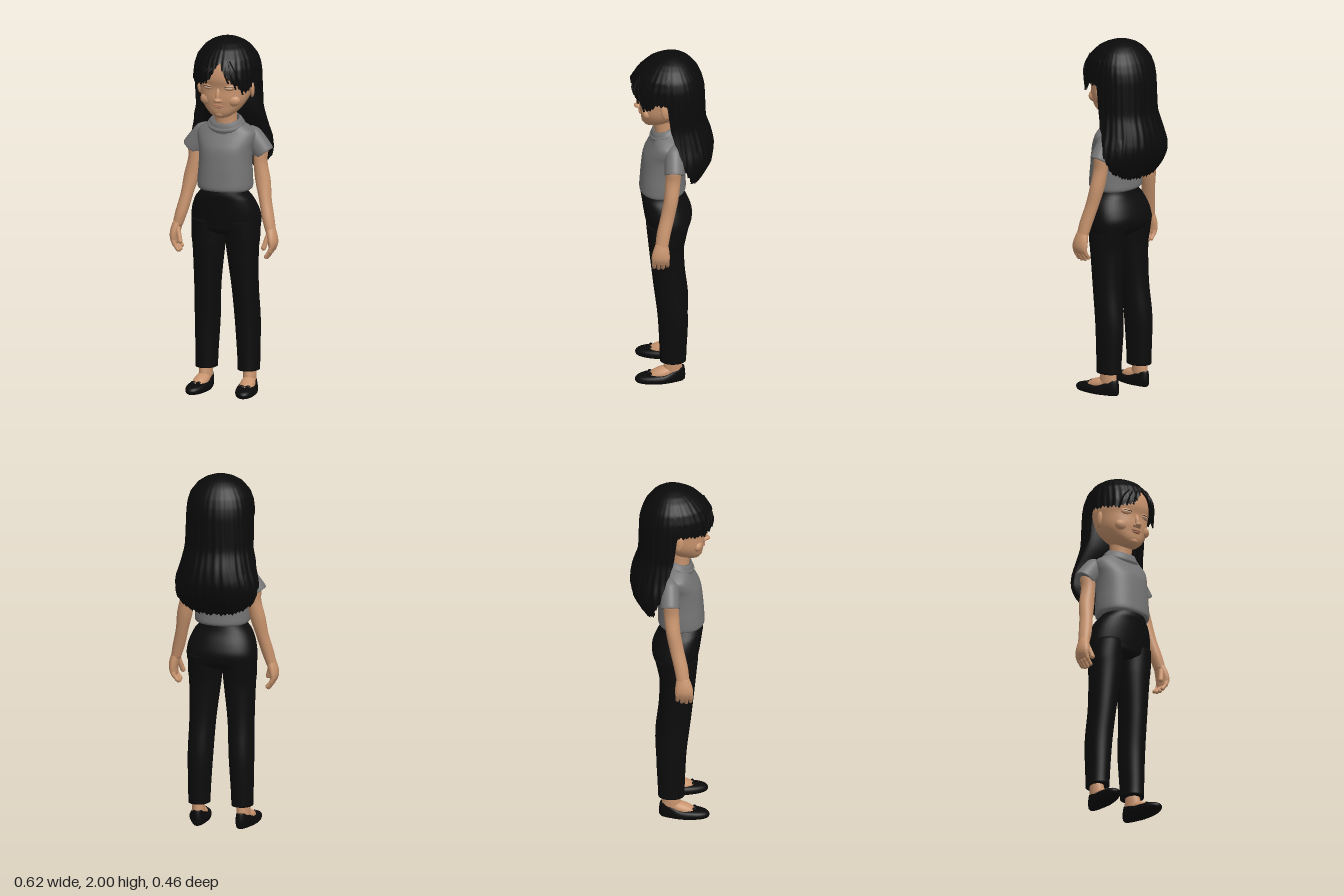
import * as THREE from 'three';

const mat = (name, color, side = THREE.FrontSide) => {
  const m = new THREE.MeshStandardMaterial({ color, side });
  m.name = name;
  return m;
};

// Piecewise linear lookup through [key, value, ...] rows with ascending keys
function lookup(rows, k, col = 1) {
  if (k <= rows[0][0]) return rows[0][col];
  for (let i = 1; i < rows.length; i++) {
    const a = rows[i - 1], b = rows[i];
    if (k <= b[0]) return a[col] + (b[col] - a[col]) * (k - a[0]) / (b[0] - a[0]);
  }
  return rows[rows.length - 1][col];
}

// Smoothly subdivide section rows
function smooth(rows, sub) {
  const out = [];
  for (let i = 0; i < rows.length - 1; i++) {
    const [p, a, b, c] = [-1, 0, 1, 2].map(k => rows[Math.min(rows.length - 1, Math.max(0, i + k))]);
    for (let s = 0; s < sub; s++) {
      const t = s / sub;
      out.push(a.map((v, k) => v + 0.5 * t * (b[k] - p[k] + t * (2 * p[k] - 5 * v + 4 * b[k] - c[k] + t * (3 * (v - b[k]) + c[k] - p[k])))));
    }
  }
  out.push(rows[rows.length - 1]);
  return out;
}

// Closed surface from a grid of rings, ordered bottom to top
function gridGeometry(rings, capped) {
  const n = rings[0].length, pos = rings.flat(2), idx = [];
  for (let i = 0; i < rings.length - 1; i++) for (let j = 0; j < n; j++) {
    const a = i * n + j, b = i * n + (j + 1) % n;
    idx.push(a, b, a + n, b, b + n, a + n);
  }
  if (capped) [0, rings.length - 1].forEach((r, top) => {
    const centre = pos.length / 3;
    pos.push(...[0, 1, 2].map(k => rings[r].reduce((s, p) => s + p[k], 0) / n));
    for (let j = 0; j < n; j++) {
      const a = r * n + j, b = r * n + (j + 1) % n;
      idx.push(...(top ? [a, b, centre] : [b, a, centre]));
    }
  });
  const g = new THREE.BufferGeometry();
  g.setAttribute('position', new THREE.Float32BufferAttribute(pos, 3));
  g.setIndex(idx);
  g.computeVertexNormals();
  return g;
}

// Loft through rows [y, centre x, half width, front z, back z], ascending y
function loft(rows, power = 1, n = 40) {
  const bend = v => Math.sign(v) * Math.abs(v) ** power;
  return gridGeometry(smooth(rows, 5).map(([y, x, rx, zf, zb]) =>
    Array.from({ length: n }, (_, j) => {
      const t = j / n * Math.PI * 2;
      return [x + rx * bend(Math.sin(t)), y, (zf + zb) / 2 + (zf - zb) / 2 * bend(Math.cos(t))];
    })), true);
}

export function createModel() {
  const model = new THREE.Group();
  model.name = 'standingWoman';
  const skin = mat('skin', 0xc8946e), lip = mat('lips', 0xb57c60), eye = mat('eyes', 0xd8b8a0);
  const hair = mat('hair', 0x0a0a0a, THREE.DoubleSide), grey = mat('shirt', 0x747475, THREE.DoubleSide);
  const black = mat('trousers', 0x0c0c0c), shoeMat = mat('shoes', 0x0b0a0a, THREE.DoubleSide);
  const C = 0.005;

  const add = (parent, name, geometry, material, p = [0, 0, 0], r = [0, 0, 0]) => {
    const m = new THREE.Mesh(geometry, material);
    m.name = name;
    m.position.set(...p);
    m.rotation.set(...r);
    parent.add(m);
    return m;
  };
  const ball = (parent, name, material, p, s, r) =>
    add(parent, name, new THREE.SphereGeometry(1, 24, 16), material, p, r).scale.set(...s);
  const rod = (parent, name, material, a, b, radius) => {
    const A = new THREE.Vector3(...a), B = new THREE.Vector3(...b), d = B.clone().sub(A);
    const m = add(parent, name, new THREE.CapsuleGeometry(radius, d.length(), 5, 12), material, A.clone().lerp(B, 0.5).toArray());
    m.quaternion.setFromUnitVectors(new THREE.Vector3(0, 1, 0), d.normalize());
  };

  // Head and neck
  add(model, 'head', loft([
    [1.564, C, 0.015, 0.13, 0.1], [1.573, C, 0.045, 0.15, 0.065], [1.6, C, 0.083, 0.165, 0],
    [1.64, C, 0.115, 0.171, -0.05], [1.68, C, 0.133, 0.177, -0.09], [1.74, C, 0.142, 0.177, -0.12],
    [1.8, C, 0.145, 0.19, -0.13], [1.88, C, 0.13, 0.172, -0.11], [1.94, C, 0.08, 0.11, -0.07], [1.955, C, 0.01, 0.03, 0.01],
  ], 0.87), skin);
  add(model, 'neck', loft([[1.46, C, 0.07, 0.1, -0.03], [1.53, C, 0.06, 0.095, -0.02], [1.62, C, 0.062, 0.11, -0.03]]), skin);

  // Face details
  ball(model, 'noseTip', skin, [C, 1.675, 0.184], [0.02, 0.014, 0.023]);
  ball(model, 'noseBridge', skin, [C, 1.705, 0.176], [0.013, 0.04, 0.017], [-0.2, 0, 0]);
  ball(model, 'upperLip', lip, [C, 1.645, 0.17], [0.032, 0.006, 0.011]);
  ball(model, 'lowerLip', lip, [C, 1.635, 0.169], [0.025, 0.007, 0.011]);
  ball(model, 'chin', skin, [C, 1.592, 0.145], [0.03, 0.02, 0.02]);
  for (const s of [-1, 1]) {
    ball(model, 'nostril', skin, [C + s * 0.015, 1.671, 0.176], [0.011, 0.01, 0.013]);
    ball(model, 'eyelid', skin, [C + s * 0.062, 1.748, 0.162], [0.032, 0.02, 0.014], [0, s * 0.25, 0]);
    ball(model, 'eyeSlit', eye, [C + s * 0.062, 1.743, 0.17], [0.022, 0.005, 0.008], [0, s * 0.25, 0]);
    ball(model, 'lashLine', hair, [C + s * 0.062, 1.75, 0.172], [0.026, 0.0022, 0.006], [0, s * 0.25, 0]);
    ball(model, 'cheek', skin, [C + s * 0.07, 1.67, 0.135], [0.045, 0.035, 0.03]);
    ball(model, 'ear', skin, [C + s * 0.149, 1.718, 0.034], [0.014, 0.048, 0.025], [0.15, s * 0.3, 0]);
  }

  // Hair: one shell whose hem forms a parted fringe and a long curtain
  const shape = [
    [1.24, 0.2, 0.2, 0.145], [1.3, 0.235, 0.2, 0.188], [1.36, 0.247, 0.2, 0.22], [1.43, 0.238, 0.2, 0.232],
    [1.5, 0.214, 0.2, 0.22], [1.6, 0.19, 0.2, 0.187], [1.75, 0.186, 0.225, 0.182], [1.8, 0.185, 0.23, 0.18],
    [1.85, 0.18, 0.22, 0.17], [1.9, 0.165, 0.192, 0.15], [1.95, 0.128, 0.143, 0.112], [1.975, 0.092, 0.1, 0.082],
    [1.99, 0.056, 0.06, 0.05], [1.997, 0.028, 0.03, 0.026], [2, 0, 0, 0],
  ];
  const curtainHem = [[-1, 1.24], [-0.85, 1.25], [-0.5, 1.3], [-0.26, 1.4], [0, 1.6], [0.1, 1.76]];
  const fringeHem = [[-0.95, 1.77], [-0.7, 1.755], [-0.25, 1.785], [0.1, 1.89], [0.3, 1.82], [0.8, 1.715], [0.95, 1.77]];
  const n = 200, rowCount = 40, rings = [];
  for (let i = rowCount; i >= 0; i--) {
    const ring = [];
    for (let j = 0; j < n; j++) {
      const t = j / n * Math.PI * 2, s = Math.sin(t), c = Math.cos(t), k = i / rowCount;
      const hem = (c > 0.1 ? lookup(fringeHem, s) : lookup(curtainHem, c)) + 0.007 * Math.sin(j * 1.9) + 0.004 * Math.sin(j * 0.7);
      const y = 2 - (2 - hem) * k ** 1.7;
      const ripple = 1 + k * (0.009 * Math.sin(36 * t + 3 * y) + 0.007 * Math.sin(23 * t - 6 * y));
      const q = c < 0 ? 1 - 0.15 * k : 1;
      const rz = lookup(shape, y, c > 0 ? 2 : 3);
      ring.push([C + Math.sign(s) * Math.abs(s) ** q * lookup(shape, y) * ripple, y, Math.sign(c) * Math.abs(c) ** q * rz * ripple]);
    }
    rings.push(ring);
  }
  add(model, 'hair', gridGeometry(rings, false), hair);
  add(model, 'hairUnderlayer', loft([
    [1.265, C, 0.13, -0.1, -0.14], [1.35, C, 0.2, -0.09, -0.185], [1.45, C, 0.195, -0.07, -0.2],
    [1.6, C, 0.16, -0.01, -0.16], [1.8, C, 0.14, 0, -0.15],
  ]), hair);
  // Loose fringe strands
  for (const [x, y] of [[-0.12, 1.75], [-0.085, 1.765], [-0.05, 1.775], [0.075, 1.78], [0.11, 1.745], [0.14, 1.71]]) {
    const z = v => 0.228 * Math.sqrt(1 - (v / 0.19) ** 2);
    const path = new THREE.CatmullRomCurve3([[0.03 + x * 0.3, 1.9, 0.175], [x * 0.8, 1.83, z(x * 0.8)], [x, y, z(x) - 0.005]].map(p => new THREE.Vector3(...p)));
    add(model, 'fringeStrand', new THREE.TubeGeometry(path, 12, 0.005, 6), hair);
  }

  // Shirt with draped collar
  add(model, 'shirt', loft([
    [1.15, C, 0.138, 0.16, -0.065], [1.165, C, 0.152, 0.177, -0.078], [1.22, C, 0.152, 0.175, -0.077], [1.3, C, 0.147, 0.169, -0.08],
    [1.38, C, 0.15, 0.158, -0.085], [1.43, C, 0.163, 0.135, -0.085], [1.47, C, 0.163, 0.112, -0.075],
    [1.5, C, 0.13, 0.1, -0.06], [1.525, C, 0.085, 0.09, -0.035], [1.535, C, 0.05, 0.07, -0.01],
  ], 0.88), grey);
  const collar = [[0.112, -0.045], [0.104, -0.02], [0.092, 0.004], [0.08, 0.018], [0.071, 0.014], [0.067, -0.03]];
  add(model, 'collar', new THREE.LatheGeometry(collar.map(p => new THREE.Vector2(...p)), 40), grey, [C, 1.532, 0.037], [0.32, 0, 0]).scale.z = 0.85;
  add(model, 'collarFold', new THREE.TorusGeometry(0.09, 0.014, 10, 40), grey, [C, 1.515, 0.042], [Math.PI / 2 + 0.42, 0, 0]).scale.y = 0.82;

  // Trouser seat
  add(model, 'trouserHips', loft([
    [0.9, 0, 0.14, 0.1, -0.05], [0.925, 0, 0.188, 0.133, -0.09], [0.96, 0, 0.196, 0.142, -0.108], [1, 0, 0.195, 0.15, -0.111],
    [1.05, 0, 0.184, 0.158, -0.095], [1.1, 0, 0.162, 0.165, -0.072], [1.13, 0, 0.138, 0.17, -0.062], [1.157, C, 0.122, 0.165, -0.056],
  ], 0.9), black);

  // Limbs, built on the +x side and mirrored
  for (const side of [1, -1]) {
    const half = new THREE.Group();
    half.name = side > 0 ? 'leftLimbs' : 'rightLimbs';
    half.scale.x = side;
    model.add(half);

    add(half, 'sleeve', loft([
      [-0.118, 0, 0.05, 0.042, -0.048], [-0.12, 0, 0.058, 0.05, -0.056], [-0.1, 0, 0.06, 0.052, -0.058], [-0.04, 0, 0.057, 0.05, -0.056],
      [0.01, 0, 0.05, 0.045, -0.05], [0.045, 0, 0.025, 0.02, -0.03],
    ]), grey, [0.14, 1.447, -0.014], [0, 0, 0.6]);
    add(half, 'arm', loft([
      [0.92, 0.271, 0.028, 0.088, 0.018], [1, 0.25, 0.034, 0.08, 0.003], [1.1, 0.226, 0.035, 0.058, -0.02],
      [1.2, 0.206, 0.043, 0.04, -0.04], [1.3, 0.189, 0.038, 0.033, -0.05], [1.38, 0.188, 0.042, 0.03, -0.055], [1.44, 0.17, 0.03, 0.02, -0.05],
    ]), skin);
    add(half, 'palm', loft([
      [0.825, 0.28, 0.016, 0.1, 0.014], [0.86, 0.285, 0.024, 0.108, 0.008], [0.9, 0.279, 0.028, 0.102, 0.01], [0.945, 0.267, 0.027, 0.085, 0.018],
    ]), skin);
    for (let f = 0; f < 4; f++) {
      const z = 0.022 + f * 0.024, end = 0.785 + [0.015, 0.003, 0, 0.006][f];
      rod(half, 'finger', skin, [0.287, 0.85, z], [0.276, (0.85 + end) / 2, z], 0.0125);
      rod(half, 'fingertip', skin, [0.276, (0.85 + end) / 2, z], [0.255, end, z], 0.011);
    }
    rod(half, 'thumb', skin, [0.262, 0.91, 0.075], [0.242, 0.84, 0.094], 0.014);

    add(half, 'trouserLeg', loft([
      [0.125, 0.122, 0.06, 0.064, -0.08], [0.2, 0.121, 0.061, 0.066, -0.083], [0.4, 0.116, 0.069, 0.076, -0.09], [0.6, 0.108, 0.073, 0.1, -0.07],
      [0.8, 0.098, 0.087, 0.122, -0.068], [0.88, 0.098, 0.094, 0.13, -0.078], [0.98, 0.096, 0.093, 0.14, -0.1],
    ], 0.95), black);

    // Foot and flat shoe, toes turned slightly out
    const foot = new THREE.Group();
    foot.name = 'foot';
    foot.position.x = 0.128;
    foot.rotation.y = 0.12;
    half.add(foot);
    add(foot, 'ankle', loft([[0.03, 0, 0.034, 0.05, -0.06], [0.08, 0, 0.036, 0.045, -0.06], [0.15, 0, 0.036, 0.03, -0.05]]), skin);
    ball(foot, 'instep', skin, [0, 0.05, 0.055], [0.042, 0.035, 0.085], [0.32, 0, 0]);
    const shoe = loft([
      [0, 0, 0.046, 0.19, -0.068], [0.006, 0, 0.054, 0.198, -0.075], [0.022, 0, 0.059, 0.201, -0.076],
      [0.038, 0, 0.055, 0.185, -0.073], [0.047, 0, 0.046, 0.14, -0.069], [0.046, 0, 0.04, 0.095, -0.064],
    ], 0.92);
    const p = shoe.attributes.position;
    for (let i = 0; i < p.count; i++) {
      const z = p.getZ(i), heel = THREE.MathUtils.smoothstep(-z, -0.06, 0.07);
      p.setY(i, p.getY(i) * (1 + 0.85 * heel));
      if (z < 0.06) p.setX(i, p.getX(i) * (1 - 0.2 * THREE.MathUtils.smoothstep(-z, -0.06, 0.04)));
    }
    shoe.computeVertexNormals();
    add(foot, 'shoe', shoe, shoeMat);
    for (const s of [-1, 1]) ball(foot, 'shoeBow', shoeMat, [s * 0.014, 0.053, 0.118], [0.016, 0.007, 0.01], [0.2, 0, s * 0.2]);
  }
  return model;
}
